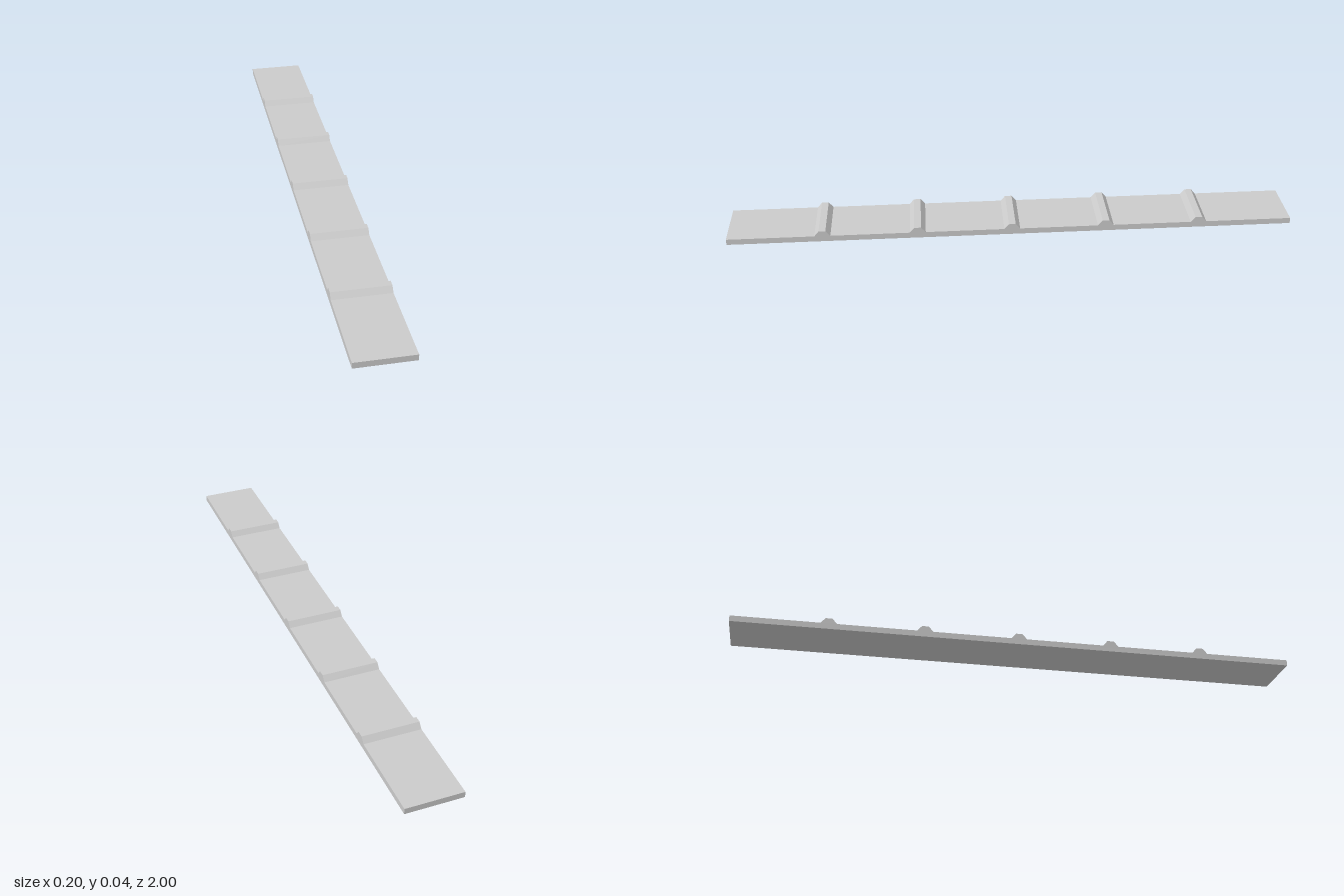
import * as THREE from 'three';

const WIDTH = 0.2, LENGTH = 2, BASE = 0.021, TOP = 0.04;
const RIDGES = 5, SPACING = 1 / 3, RIDGE_FOOT = 0.028, RIDGE_CREST = 0.012;

export function createModel() {
  const group = new THREE.Group();
  group.name = 'ribbedStrip';

  // Side profile: flat slab with evenly spaced trapezoid ridges along the top
  const profile = new THREE.Shape();
  profile.moveTo(-LENGTH / 2, 0);
  profile.lineTo(LENGTH / 2, 0);
  profile.lineTo(LENGTH / 2, BASE);
  for (let i = 0; i < RIDGES; i++) {
    const c = ((RIDGES - 1) / 2 - i) * SPACING;
    profile.lineTo(c + RIDGE_FOOT, BASE);
    profile.lineTo(c + RIDGE_CREST, TOP);
    profile.lineTo(c - RIDGE_CREST, TOP);
    profile.lineTo(c - RIDGE_FOOT, BASE);
  }
  profile.lineTo(-LENGTH / 2, BASE);
  profile.closePath();

  // Sweep the profile across the width, lengthwise along z
  const geometry = new THREE.ExtrudeGeometry(profile, { depth: WIDTH, bevelEnabled: false });
  geometry.translate(0, 0, -WIDTH / 2);
  geometry.rotateY(Math.PI / 2);

  const strip = new THREE.Mesh(
    geometry,
    new THREE.MeshStandardMaterial({ color: 0xcccccc, flatShading: true })
  );
  strip.name = 'stripWithRidges';
  group.add(strip);
  return group;
}
